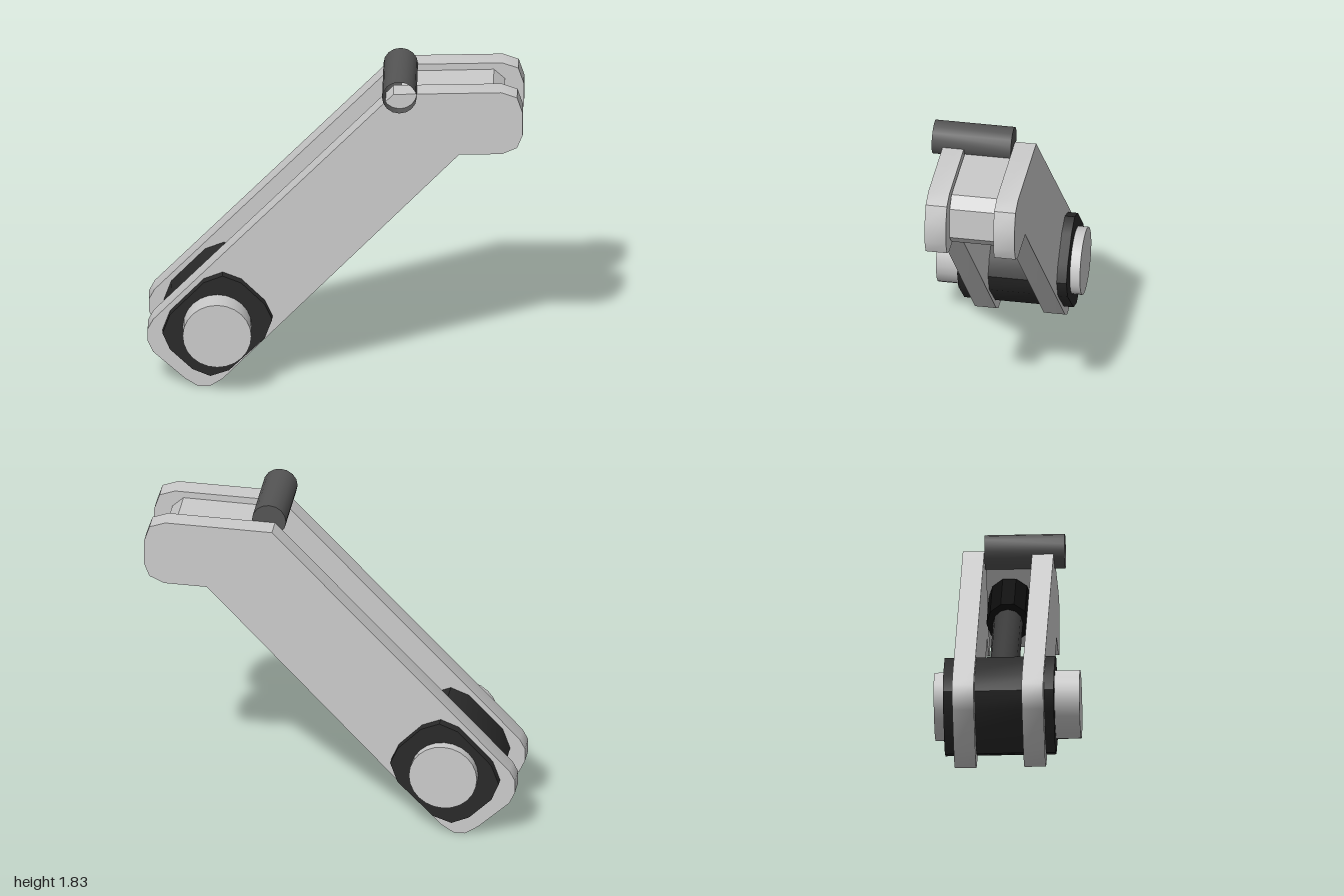
import * as THREE from 'three';
import { toCreasedNormals } from 'three/addons/utils/BufferGeometryUtils.js';

const mat = (color, extra = {}) => new THREE.MeshStandardMaterial({ color, ...extra });

export function createModel() {
  const model = new THREE.Group();
  const grey = mat(0xcccccc);
  const darkGrey = mat(0x2a2a2a);

  function add(name, geometry, material) {
    const mesh = new THREE.Mesh(toCreasedNormals(geometry, 0.6), material);
    mesh.name = name;
    model.add(mesh);
    return mesh;
  }

  // Side outline extruded between two depths
  function slab(name, points, zBack, zFront, material) {
    const shape = new THREE.Shape(points.map(([x, y]) => new THREE.Vector2(x, y)));
    const geometry = new THREE.ExtrudeGeometry(shape, { depth: zFront - zBack, bevelEnabled: false });
    geometry.translate(0, 0, zBack);
    return add(name, geometry, material);
  }

  // Cylinder between two points
  function rod(name, from, to, radius, sides, material, open = false) {
    const a = new THREE.Vector3(...from), b = new THREE.Vector3(...to);
    const axis = b.clone().sub(a);
    const geometry = new THREE.CylinderGeometry(radius, radius, axis.length(), sides, 1, open);
    const mesh = add(name, geometry, material);
    mesh.position.copy(a).add(b).multiplyScalar(0.5);
    mesh.quaternion.setFromUnitVectors(new THREE.Vector3(0, 1, 0), axis.normalize());
    return mesh;
  }

  // Pair of bent arm plates
  const plate = [
    [-0.73, 0], [-0.67, 0], [-0.6, 0.045], [0.66, 1.377], [0.89, 1.383], [0.97, 1.42],
    [1, 1.495], [1, 1.625], [0.97, 1.715], [0.885, 1.745], [0.31, 1.73],
    [-0.97, 0.393], [-1, 0.335], [-1, 0.265], [-0.97, 0.2], [-0.8, 0.045],
  ];
  slab('frontArmPlate', plate, 0.088, 0.203, grey);
  slab('backArmPlate', plate, -0.283, -0.168, grey);

  // Rounded bushing block through the lower end
  slab('bushingBlock', [
    [-0.665, 0.085], [-0.565, 0.12], [-0.375, 0.31], [-0.335, 0.42], [-0.375, 0.51],
    [-0.5, 0.635], [-0.6, 0.675], [-0.7, 0.635], [-0.88, 0.445], [-0.92, 0.335],
    [-0.88, 0.24], [-0.76, 0.125],
  ], -0.336, 0.255, darkGrey);

  // Pivot pin
  rod('pivotPin', [-0.627, 0.382, -0.39], [-0.627, 0.382, 0.388], 0.183, 24, grey);

  // Spacer between the plates at the upper end
  slab('upperSpacer', [
    [0.6, 1.41], [0.84, 1.41], [0.9, 1.475], [0.9, 1.655], [0.84, 1.71], [0.35, 1.695],
  ], -0.162, 0.085, grey);

  // Piston rod and its sleeve, running along the arm
  const along = (t) => [-0.63 + 0.69 * t, 0.37 + 0.724 * t, -0.038];
  rod('pistonRod', along(0.2), along(1.35), 0.08, 12, mat(0x3a3a3a));
  rod('pistonSleeve', along(1.23), along(1.6), 0.115, 10, mat(0x0c0c0c));

  // Cross tube at the bend, open in front and closed at the back
  const tubeMaterial = mat(0x555555, { side: THREE.DoubleSide });
  rod('crossTube', [0.343, 1.738, -0.166], [0.343, 1.738, 0.262], 0.092, 16, tubeMaterial, true);
  const cap = add('crossTubeCap', new THREE.CircleGeometry(0.092, 16), tubeMaterial);
  cap.position.set(0.343, 1.738, -0.166);
  cap.rotation.y = Math.PI;

  return model;
}
